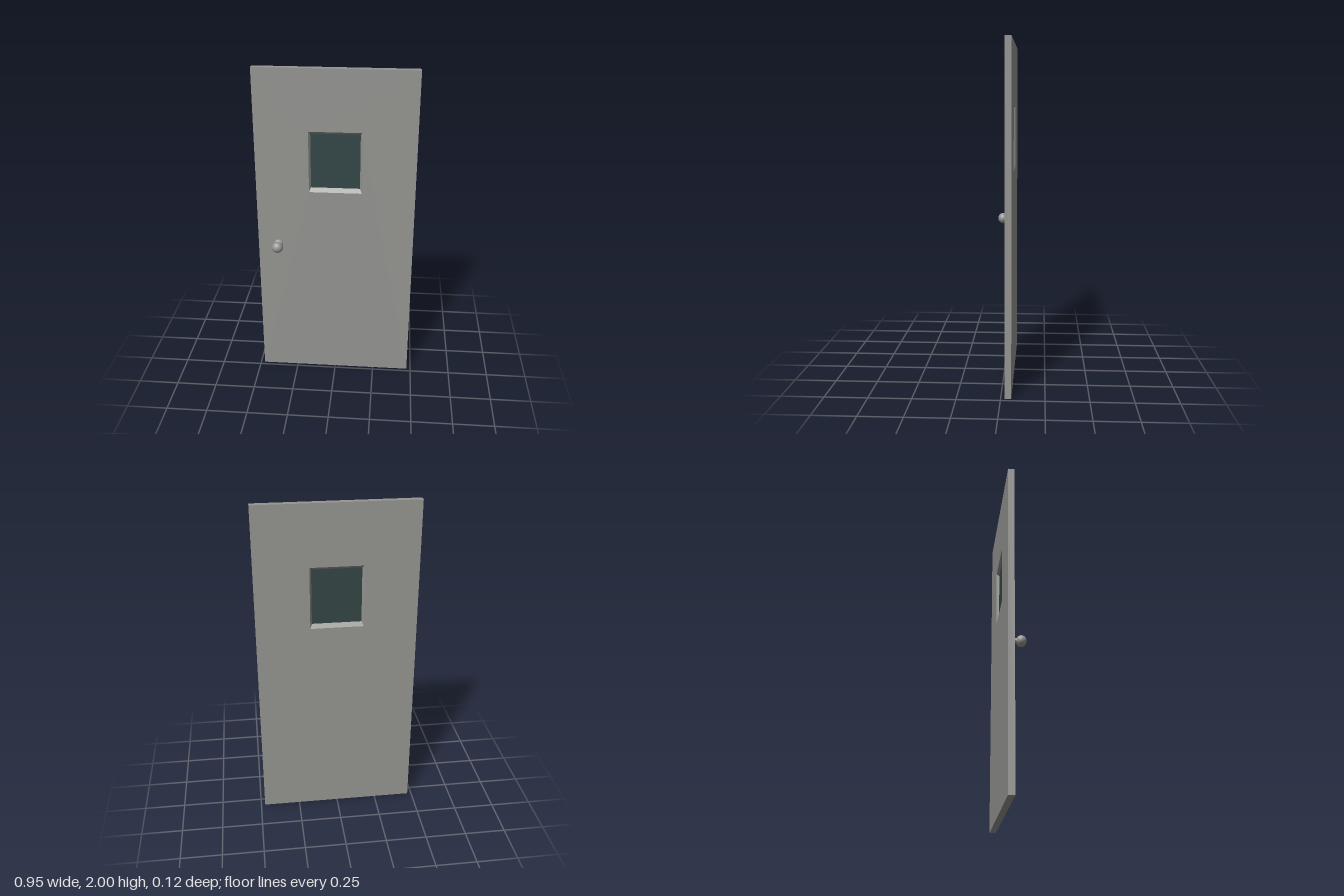
import * as THREE from 'three';

const BACK = -0.06, FRONT = -0.022, MID = -0.041;

// Skin joining rectangular sections [halfWidth, bottom, top, z], flat shaded
function loftRects(rects) {
  const pos = [];
  const corners = ([w, b, t, z]) => [[-w, b, z], [w, b, z], [w, t, z], [-w, t, z]];
  for (let i = 0; i < rects.length - 1; i++) {
    const p = corners(rects[i]), q = corners(rects[i + 1]);
    for (let k = 0; k < 4; k++) {
      const n = (k + 1) % 4;
      pos.push(...p[k], ...p[n], ...q[n], ...p[k], ...q[n], ...q[k]);
    }
  }
  const geo = new THREE.BufferGeometry();
  geo.setAttribute('position', new THREE.Float32BufferAttribute(pos, 3));
  geo.computeVertexNormals();
  return geo;
}

export function createModel() {
  const model = new THREE.Group();
  model.name = 'door';
  const paint = new THREE.MeshStandardMaterial({ name: 'grey paint', color: 0x949491 });
  const metal = new THREE.MeshStandardMaterial({ name: 'knob metal', color: 0x969694 });
  const glass = new THREE.MeshStandardMaterial({ name: 'dark glass', color: 0x334545 });

  const add = (name, geo, mat) => {
    const mesh = new THREE.Mesh(geo, mat);
    mesh.name = name;
    model.add(mesh);
    return mesh;
  };

  // Door slab with an opening bevelled inwards from both faces
  const outer = [0.475, 0, 2], opening = [0.157, 1.257, 1.633], inner = [0.146, 1.282, 1.617];
  add('doorPanel', loftRects([
    [...outer, BACK], [...outer, FRONT], [...opening, FRONT],
    [...inner, MID + 0.003], [...inner, MID - 0.003],
    [...opening, BACK], [...outer, BACK],
  ]), paint);

  // Window pane
  const pane = add('windowPane',
    new THREE.BoxGeometry(inner[0] * 2, inner[2] - inner[1], 0.005), glass);
  pane.position.set(0, (inner[1] + inner[2]) / 2, MID);

  // Knob: rosette, then waisted neck and slightly flattened ball
  const lathe = (pts) => new THREE.LatheGeometry(pts.map(([r, z]) => new THREE.Vector2(r, z)), 32);
  const ball = [];
  for (let i = 0; i <= 14; i++) {
    const a = -1.02 + (i / 14) * (Math.PI / 2 + 1.02);
    ball.push([Math.max(0.034 * Math.cos(a), 0), 0.029 + 0.03 * Math.sin(a)]);
  }
  const parts = {
    knobRosette: [[0.029, FRONT], [0.029, -0.017], [0.025, -0.012], [0.016, -0.009]],
    knob: [[0.016, -0.009], [0.015, -0.004], [0.016, 0.001], ...ball],
  };
  for (const [name, pts] of Object.entries(parts)) {
    const mesh = add(name, lathe(pts), metal);
    mesh.rotation.x = Math.PI / 2;
    mesh.position.set(-0.352, 0.903, 0);
  }
  return model;
}
